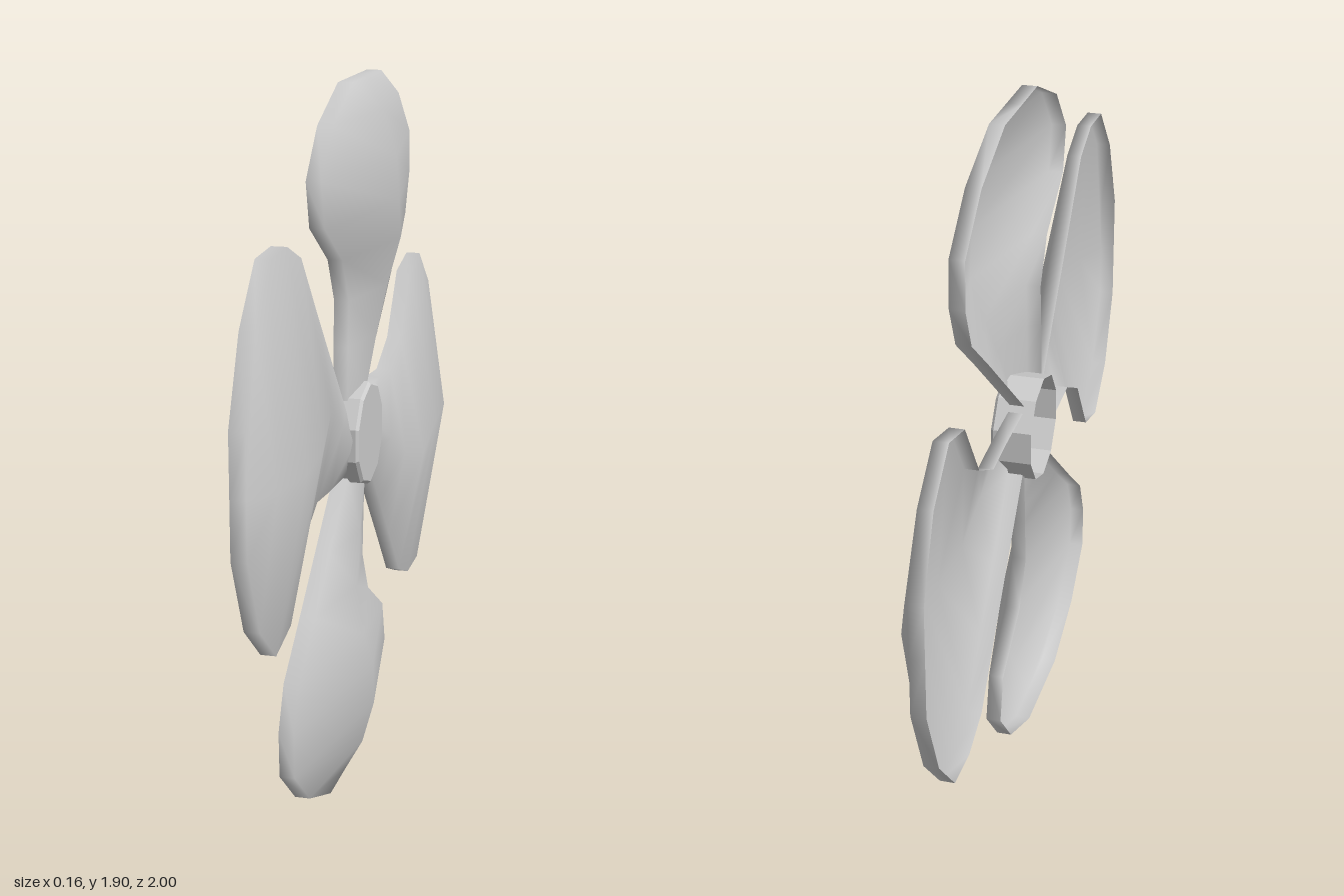
import * as THREE from 'three';
import { mergeVertices } from 'three/addons/utils/BufferGeometryUtils.js';

const CENTRE_Y = 0.945;
const RIM_X = -0.01;
const SKIRT_X = -0.05;
const RIDGE_AT = 0.52;

// Blade cross-sections from root to tip: radius, long edge, hooked edge, ridge height
const SECTIONS = [
  [0.11, -0.095, 0.09, 0.015],
  [0.27, -0.28, 0.085, 0.025],
  [0.4, -0.43, 0.075, 0.037],
  [0.53, -0.585, 0.14, 0.064],
  [0.65, -0.635, 0.315, 0.075],
  [0.78, -0.63, 0.345, 0.072],
  [0.91, -0.49, 0.235, 0.037],
  [1.0, -0.28, 0.03, RIM_X],
];

// Hollow blade along +y: ridged sheet with a skirt turned back around its rim
function bladeGeometry() {
  const rows = SECTIONS.map(([r, long, hook, ridge]) => [
    [SKIRT_X, r, long],
    [RIM_X, r, long],
    [ridge, r, long + (hook - long) * RIDGE_AT],
    [RIM_X, r, hook],
    [SKIRT_X, r, hook],
  ]);
  // Skirt at the tip
  rows.push(rows[rows.length - 1].map(([, r, t]) => [SKIRT_X, r, t]));

  const index = [];
  for (let i = 0; i < rows.length - 1; i++) {
    for (let j = 0; j < 4; j++) {
      const a = i * 5 + j;
      const b = a + 5;
      index.push(a, b, b + 1, a, b + 1, a + 1);
    }
  }
  const geometry = new THREE.BufferGeometry();
  geometry.setAttribute('position', new THREE.Float32BufferAttribute(rows.flat(2), 3));
  geometry.setIndex(index);
  const merged = mergeVertices(geometry);
  merged.computeVertexNormals();
  return merged;
}

export function createModel() {
  const group = new THREE.Group();
  group.name = 'propeller';
  const material = new THREE.MeshStandardMaterial({
    color: 0xcccccc, side: THREE.DoubleSide,
  });

  // Four blades; the upright pair is slightly shorter
  const blade = bladeGeometry();
  for (let k = 0; k < 4; k++) {
    const mesh = new THREE.Mesh(blade, material);
    mesh.name = 'blade' + (k + 1);
    mesh.rotation.x = (k * Math.PI) / 2;
    mesh.scale.y = k % 2 === 0 ? 0.948 : 1;
    mesh.position.y = CENTRE_Y;
    group.add(mesh);
  }

  // Ten-sided hub cap, open at the rear
  const profile = [
    [0.145, -0.08], [0.145, 0.024], [0.137, 0.032], [0, 0.032],
  ].map(([r, h]) => new THREE.Vector2(r, h));
  const hub = new THREE.Mesh(
    new THREE.LatheGeometry(profile, 10),
    new THREE.MeshStandardMaterial({
      color: 0xcccccc, flatShading: true, side: THREE.DoubleSide,
    }),
  );
  hub.name = 'hub';
  // Lathe axis turned to x, with a corner at the top
  hub.rotation.z = -Math.PI / 2;
  hub.geometry.rotateY(Math.PI / 2);
  hub.position.y = CENTRE_Y;
  group.add(hub);

  return group;
}
